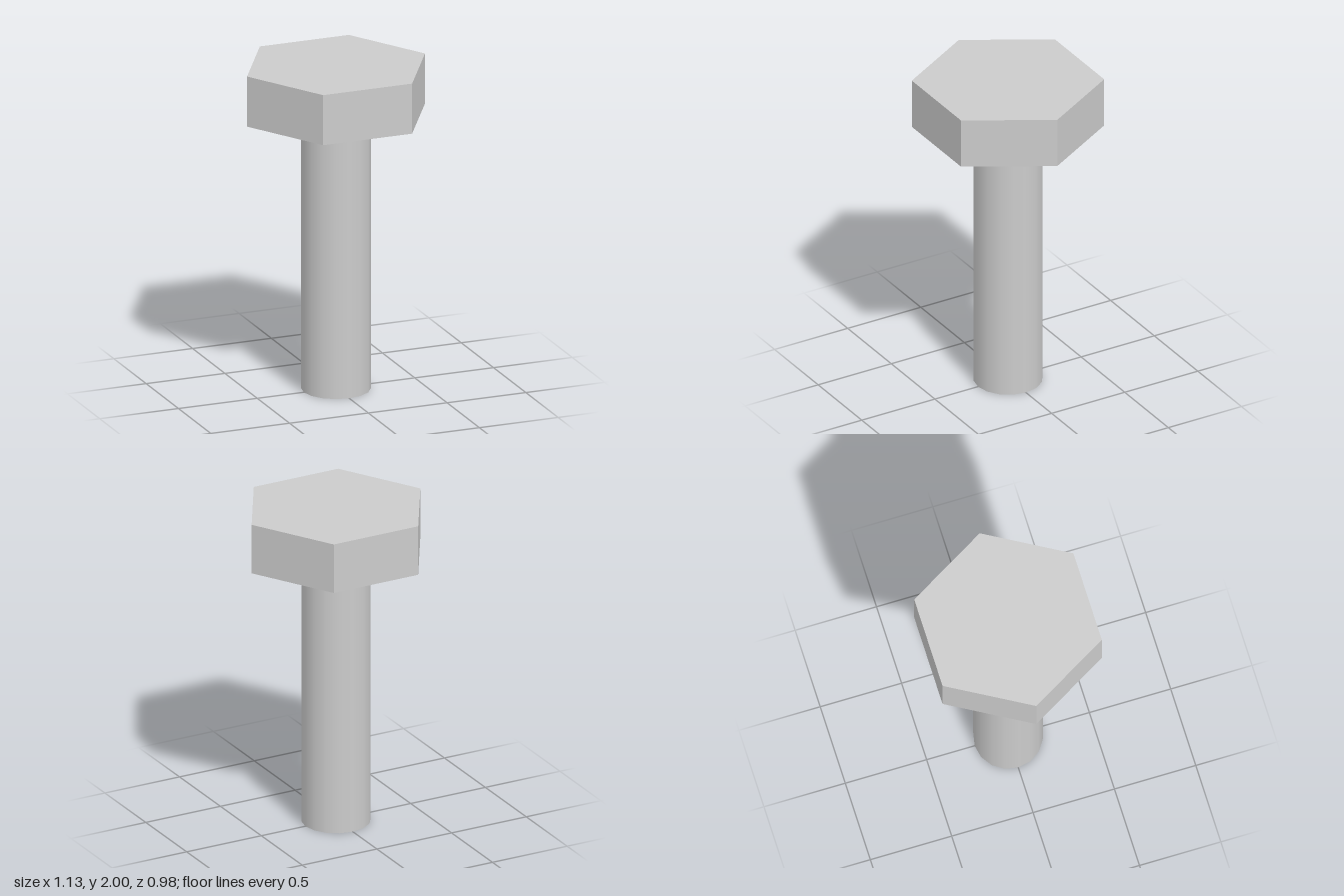
import * as THREE from 'three';

const HEIGHT = 2;
const HEAD_BOTTOM = 1.69;

export function createModel() {
  const bolt = new THREE.Group();
  bolt.name = 'hexBolt';

  // Hexagonal head, corners pointing along x, crisp faces
  const headHeight = HEIGHT - HEAD_BOTTOM;
  const head = new THREE.Mesh(
    new THREE.CylinderGeometry(0.565, 0.565, headHeight, 6, 1, false, Math.PI / 6),
    new THREE.MeshStandardMaterial({ color: 0xcccccc, flatShading: true })
  );
  head.name = 'head';
  head.position.y = HEAD_BOTTOM + headHeight / 2;
  bolt.add(head);

  // Plain round shank, smooth sides
  const shank = new THREE.Mesh(
    new THREE.CylinderGeometry(0.205, 0.205, HEAD_BOTTOM, 16),
    new THREE.MeshStandardMaterial({ color: 0xcccccc })
  );
  shank.name = 'shank';
  shank.position.y = HEAD_BOTTOM / 2;
  bolt.add(shank);

  return bolt;
}
